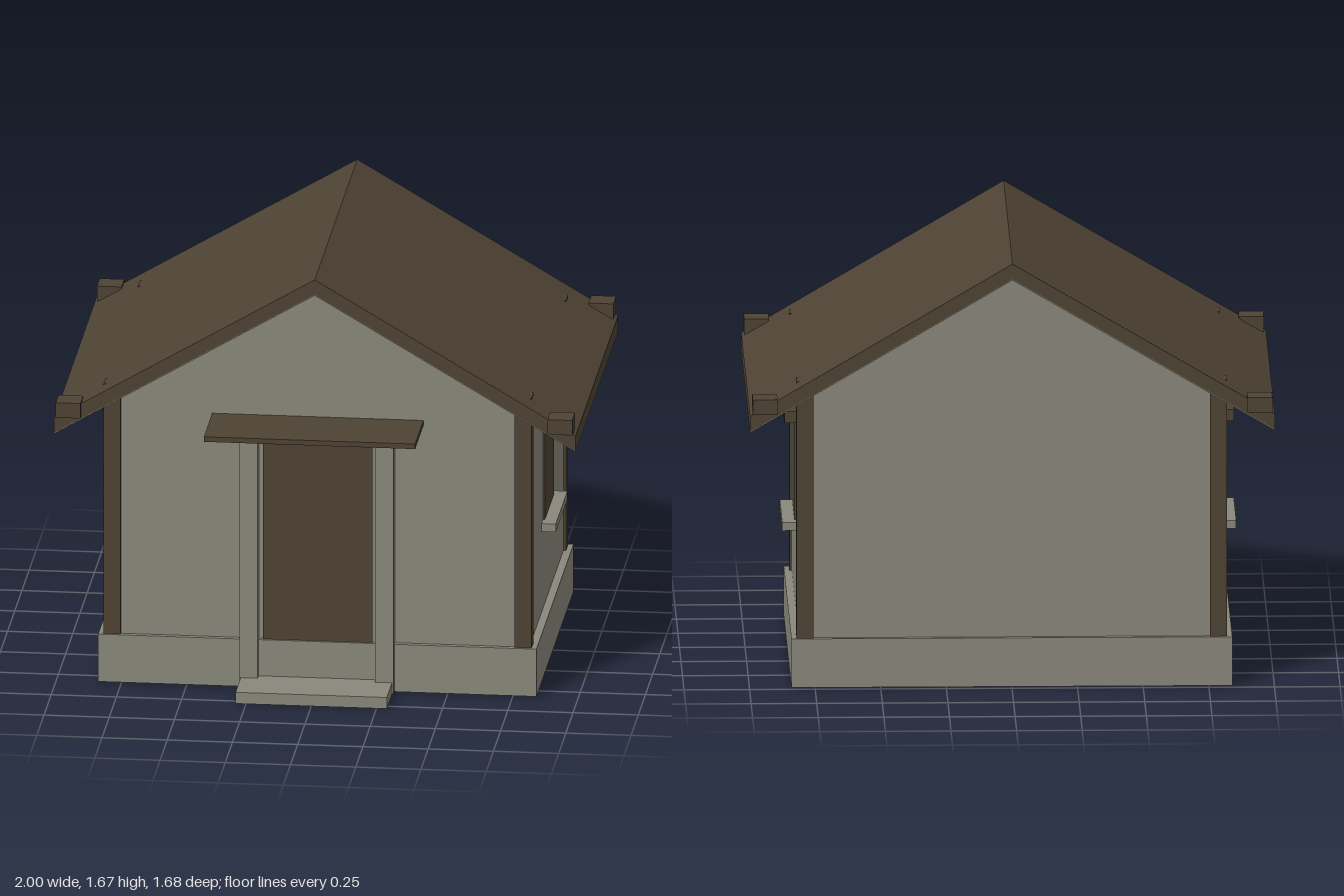
import * as THREE from 'three';

export function createModel() {
  const house = new THREE.Group();
  house.name = 'house';

  const stone = new THREE.MeshStandardMaterial({ color: 0x8a887b });
  stone.name = 'stone grey';
  const timber = new THREE.MeshStandardMaterial({ color: 0x4e4334 });
  timber.name = 'dark timber';

  const add = (name, geometry, material) => {
    const mesh = new THREE.Mesh(geometry, material);
    mesh.name = name;
    house.add(mesh);
    return mesh;
  };

  // Box given by its limits on each axis
  const box = (name, material, [x0, x1], [y0, y1], [z0, z1]) => {
    const g = new THREE.BoxGeometry(x1 - x0, y1 - y0, z1 - z0);
    g.translate((x0 + x1) / 2, (y0 + y1) / 2, (z0 + z1) / 2);
    return add(name, g, material);
  };

  // Same box on the left (+x) and right (-x) side
  const pair = (name, material, [x0, x1], y, z) => {
    box(name + 'Left', material, [x0, x1], y, z);
    box(name + 'Right', material, [-x1, -x0], y, z);
  };

  // Outline in x and y, extruded from z0 to z1
  const prism = (name, material, points, z0, z1) => {
    const shape = new THREE.Shape(points.map(([x, y]) => new THREE.Vector2(x, y)));
    const g = new THREE.ExtrudeGeometry(shape, { depth: z1 - z0, bevelEnabled: false });
    g.translate(0, 0, z0);
    return add(name, g, material);
  };

  // Hollow plinth with a floor slab at its top
  const BACK = -0.72, FRONT = 0.57, PLINTH = 0.19;
  pair('plinthSide', stone, [0.83, 0.84], [0, PLINTH], [BACK, FRONT]);
  box('plinthFront', stone, [-0.83, 0.83], [0, PLINTH], [FRONT - 0.01, FRONT]);
  box('plinthBack', stone, [-0.83, 0.83], [0, PLINTH], [BACK, BACK + 0.01]);
  box('floor', stone, [-0.83, 0.83], [PLINTH - 0.01, PLINTH], [BACK + 0.01, FRONT - 0.01]);
  pair('rearFooting', timber, [0.65, 0.82], [0, PLINTH - 0.01], [-0.705, -0.58]);

  // Gabled walls
  const slope = 0.59, ridge = 1.67, thick = 0.06;
  const roofY = (x, drop) => ridge - drop - slope * Math.abs(x);
  const wx = 0.81;
  prism('walls', stone, [
    [-wx, PLINTH], [wx, PLINTH], [wx, roofY(wx, thick)], [0, roofY(0, thick)], [-wx, roofY(wx, thick)],
  ], -0.70, 0.55);

  // Roof layers follow the same slope between two drops below the ridge
  const roofLayer = (name, material, top, bottom, z0, z1) => prism(name, material, [
    [-1, roofY(1, bottom)], [0, roofY(0, bottom)], [1, roofY(1, bottom)],
    [1, roofY(1, top)], [0, roofY(0, top)], [-1, roofY(1, top)],
  ], z0, z1);
  roofLayer('roof', timber, 0, thick, -0.82, 0.66);
  roofLayer('soffit', stone, thick, thick + 0.004, -0.818, 0.658);

  // Corner posts, their tips just breaking through the roof
  for (const [end, z] of [['front', [0.49, 0.56]], ['back', [-0.71, -0.64]]]) {
    pair(end + 'Post', timber, [0.755, 0.82], [PLINTH, 1.192], z);
  }

  // Blocks at the eave corners
  for (const [end, z] of [['front', [0.59, 0.685]], ['back', [-0.84, -0.745]]]) {
    pair(end + 'EaveBlock', timber, [0.895, 0.99], [1.09, 1.15], z);
  }

  // Doorway
  box('door', timber, [-0.21, 0.21], [0, 0.98], [0.53, 0.56]);
  pair('doorFrame', stone, [0.225, 0.295], [0, 1.0], [0.54, 0.6]);
  box('doorLintel', timber, [-0.31, 0.31], [1.0, 1.065], [0.54, 0.605]);
  box('doorCanopy', timber, [-0.405, 0.405], [1.065, 1.085], [0.54, 0.84]);
  box('doorStep', stone, [-0.29, 0.29], [0, 0.045], [0.57, 0.78]);

  // Side windows
  pair('windowShutter', timber, [0.805, 0.818], [0.548, 0.93], [-0.23, 0.075]);
  pair('windowLintel', timber, [0.8, 0.857], [0.935, 0.98], [-0.28, 0.125]);
  pair('windowSill', stone, [0.8, 0.865], [0.515, 0.547], [-0.28, 0.125]);

  return house;
}
